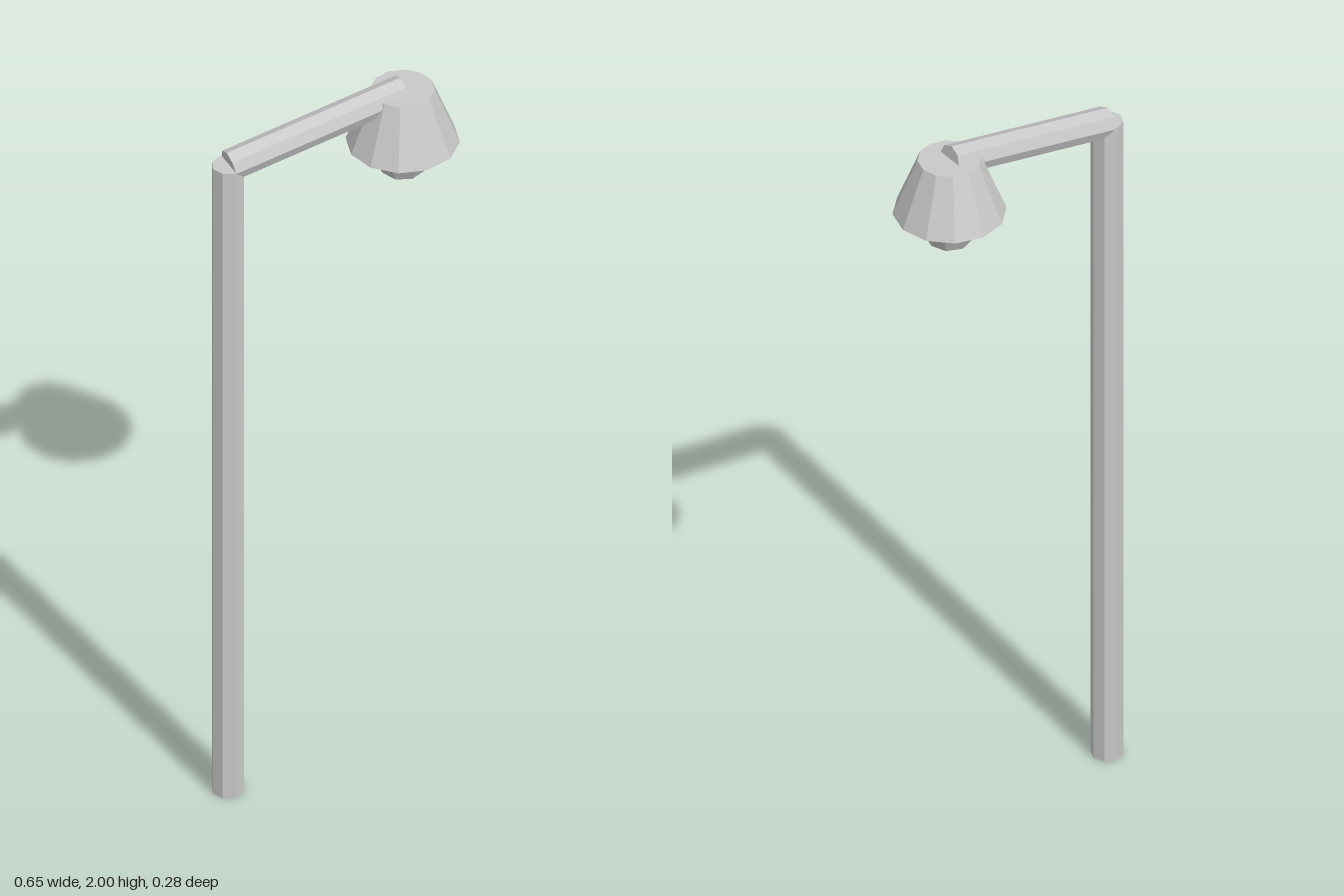
import * as THREE from 'three';

export function createModel() {
  const group = new THREE.Group();
  const grey = new THREE.MeshStandardMaterial({ color: 0xc8c8c8 });
  grey.flatShading = true;

  const add = (name, geometry, x, y) => {
    const mesh = new THREE.Mesh(geometry, grey);
    mesh.name = name;
    mesh.position.set(x, y, 0);
    group.add(mesh);
    return mesh;
  };

  const poleX = -0.287, lampX = 0.187;

  // Upright eight-sided pole
  add('pole', new THREE.CylinderGeometry(0.041, 0.041, 1.885, 8), poleX, 0.9425);

  // Arm rising gently from the pole top to the lamp
  const start = new THREE.Vector2(-0.284, 1.882);
  const end = new THREE.Vector2(lampX, 1.96);
  const span = end.clone().sub(start);
  const arm = add('arm', new THREE.CylinderGeometry(0.04, 0.04, span.length(), 8),
    (start.x + end.x) / 2, (start.y + end.y) / 2);
  arm.rotation.z = span.angle() - Math.PI / 2;

  // Tapered, closed lamp shade
  add('lampShade', new THREE.CylinderGeometry(0.079, 0.14, 0.155, 12), lampX, 1.8875);

  // Faceted, slightly flattened bulb below the shade
  const bulb = add('bulb', new THREE.SphereGeometry(0.077, 8, 4), lampX, 1.77);
  bulb.scale.y = 0.78;

  return group;
}
